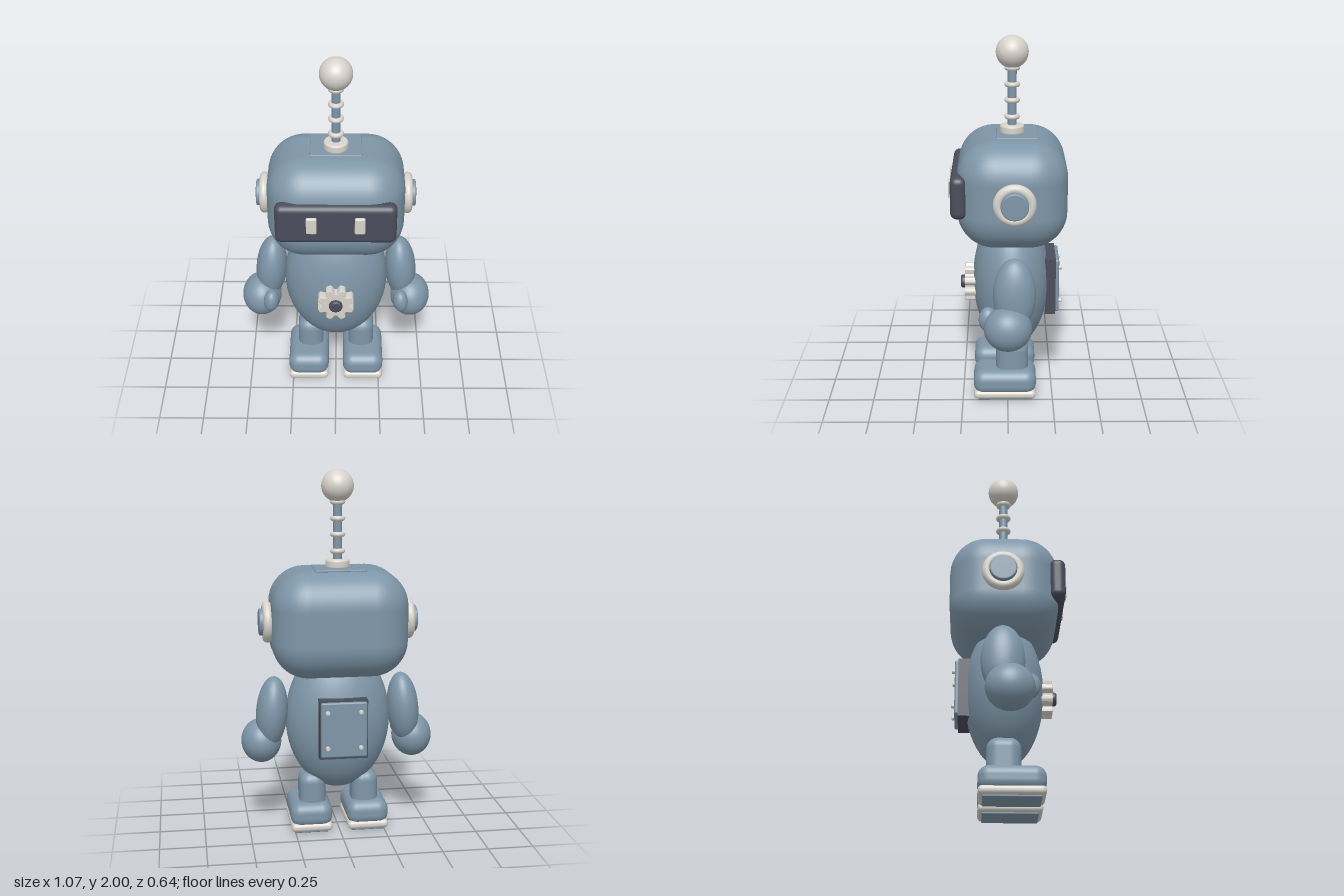
import * as THREE from 'three';
import { RoundedBoxGeometry } from 'three/addons/geometries/RoundedBoxGeometry.js';

function flat(name, color) {
  const m = new THREE.MeshStandardMaterial({ color });
  m.name = name;
  return m;
}

export function createModel() {
  const blue = flat('steelBlue', 0x7e96a8);
  const light = flat('warmWhite', 0xd8d4cc);
  const dark = flat('darkSlate', 0x4a4d5b);
  const root = new THREE.Group();
  root.name = 'robot';

  const add = (name, geo, mat, x, y, z) => {
    const m = new THREE.Mesh(geo, mat);
    m.name = name;
    m.position.set(x, y, z);
    root.add(m);
    return m;
  };
  const rbox = (w, h, d, r) => new RoundedBoxGeometry(w, h, d, 6, r);
  const ball = (rx, ry, rz) => new THREE.SphereGeometry(1, 40, 28).scale(rx, ry, rz);
  // cylinder with softened rims, standing on y = 0
  const puck = (r, h, b) => {
    const pts = [new THREE.Vector2(0, 0)];
    for (let i = 0; i <= 4; i++) {
      const a = (i / 4) * Math.PI / 2;
      pts.push(new THREE.Vector2(r - b + b * Math.sin(a), b - b * Math.cos(a)));
    }
    for (let i = 0; i <= 4; i++) {
      const a = (i / 4) * Math.PI / 2;
      pts.push(new THREE.Vector2(r - b + b * Math.cos(a), h - b + b * Math.sin(a)));
    }
    pts.push(new THREE.Vector2(0, h));
    return new THREE.LatheGeometry(pts, 36);
  };

  // Head, visor and eyes
  add('head', rbox(0.74, 0.585, 0.59, 0.2), blue, 0, 1.183, -0.025);
  add('visor', rbox(0.64, 0.23, 0.085, 0.035), dark, 0, 1.195, 0.26);
  add('headHatch', rbox(0.276, 0.012, 0.226, 0.005), blue, 0, 1.474, -0.052);

  // Antenna
  const az = -0.025;
  add('antennaBase', puck(0.066, 0.05, 0.012), light, 0, 1.472, az);
  add('antennaRod', new THREE.CylinderGeometry(0.024, 0.024, 0.34, 24), blue, 0, 1.67, az);
  for (const y of [1.565, 1.655, 1.74, 1.828]) {
    add('antennaRing', new THREE.TorusGeometry(0.028, 0.014, 12, 32).rotateX(Math.PI / 2), light, 0, y, az);
  }
  add('antennaBall', ball(0.087, 0.087, 0.087), light, 0, 1.913, az);

  // Body
  add('body', ball(0.29, 0.405, 0.212), blue, 0, 0.64, -0.02);

  // Chest gear: eight rounded teeth
  const outline = [];
  for (let i = 0; i < 96; i++) {
    const a = (i / 96) * Math.PI * 2;
    const wave = Math.max(-1, Math.min(1, 1.7 * Math.cos(8 * (a - Math.PI / 8))));
    const r = 0.087 + 0.014 * wave;
    outline.push(new THREE.Vector2(r * Math.cos(a), r * Math.sin(a)));
  }
  const gear = new THREE.ExtrudeGeometry(new THREE.Shape(outline), {
    depth: 0.06, bevelEnabled: true, bevelSize: 0.004, bevelThickness: 0.004, bevelSegments: 2,
  });
  add('chestGear', gear, light, 0, 0.615, 0.174);
  add('gearHub', puck(0.037, 0.04, 0.012).rotateX(Math.PI / 2), dark, 0, 0.615, 0.222);

  // Back panel: dark gasket whose inner corners reach round the body
  const gasket = new THREE.BoxGeometry(0.262, 0.325, 0.04, 10, 12, 2);
  const p = gasket.attributes.position;
  for (let i = 0; i < p.count; i++) {
    const u = p.getX(i) / 0.131, v = p.getY(i) / 0.1625;
    if (p.getZ(i) > -0.01) p.setZ(i, p.getZ(i) + 0.011 * (u * u + v * v));
  }
  gasket.computeVertexNormals();
  add('backGasket', gasket, dark, 0, 0.63, -0.245);
  add('backPanel', rbox(0.25, 0.305, 0.026, 0.01), blue, 0, 0.633, -0.271);
  for (const x of [-0.09, 0.09]) for (const y of [0.535, 0.732]) {
    add('panelBolt', puck(0.012, 0.022, 0.004).rotateX(-Math.PI / 2), light, x, y, -0.278);
  }

  // Paired parts
  for (const s of [-1, 1]) {
    const side = s > 0 ? 'left' : 'right';
    add(side + 'Eye', rbox(0.056, 0.096, 0.03, 0.008), light, s * 0.127, 1.203, 0.303);
    add(side + 'EarRing', new THREE.TorusGeometry(0.087, 0.026, 16, 48).rotateY(Math.PI / 2),
      light, s * 0.388, 1.188, -0.035);
    add(side + 'EarCap', puck(0.073, 0.08, 0.008).rotateZ(-s * Math.PI / 2), blue, s * 0.353, 1.188, -0.035);

    const arm = add(side + 'Arm', ball(0.087, 0.2, 0.114), blue, s * 0.367, 0.682, -0.035);
    arm.rotation.z = s * 0.08;
    add(side + 'Hand', ball(0.111, 0.122, 0.128), blue, s * 0.425, 0.512, 0);
    const thumb = add(side + 'Thumb', ball(0.043, 0.068, 0.05), blue, s * 0.368, 0.542, 0.106);
    thumb.rotation.z = s * 0.1;

    add(side + 'Leg', rbox(0.146, 0.26, 0.18, 0.06), blue, s * 0.147, 0.205, -0.025);
    add(side + 'Foot', rbox(0.232, 0.14, 0.348, 0.058), blue, s * 0.158, 0.1, 0.016);
    add(side + 'Sole', rbox(0.228, 0.048, 0.344, 0.022), light, s * 0.158, 0.034, 0.016);
    add(side + 'Tread', rbox(0.186, 0.02, 0.3, 0.006), blue, s * 0.158, 0.01, 0.016);
  }
  return root;
}
